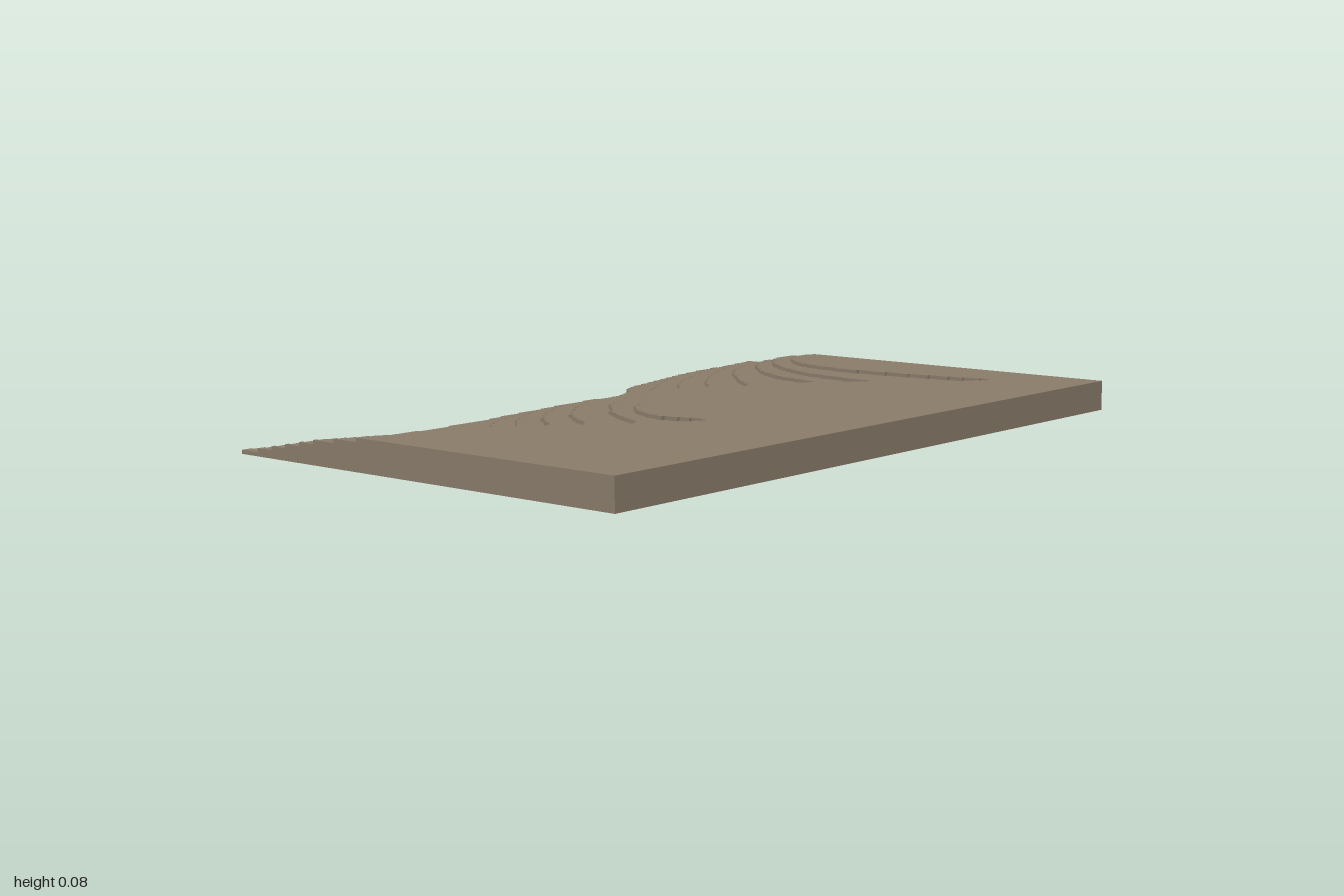
import * as THREE from 'three';

const LAYER = 0.01;   // thickness of one terrace
const GRID = 100;     // outline snaps to cells of 1 / GRID
const RIGHT = 0.68;   // straight side of the slab

// Turn a smooth contour into a fine staircase outline
function steppedContour(pairs) {
  const pts = pairs.map(([x, z]) => new THREE.Vector3(x, 0, z));
  const curve = new THREE.CatmullRomCurve3(pts, false, 'centripetal');
  const out = [];
  const push = (x, z) => {
    const n = out.length;
    if (n && out[n - 1][0] === x && out[n - 1][1] === z) return;
    if (n > 1 && out[n - 2][0] === x && out[n - 2][1] === z) { out.pop(); return; }
    out.push([x, z]);
  };
  for (const p of curve.getSpacedPoints(600)) {
    const x = Math.round(p.x * GRID);
    const z = Math.round(THREE.MathUtils.clamp(p.z, -1, 1) * GRID);
    if (out.length) push(x, out[out.length - 1][1]);
    push(x, z);
  }
  return out.map(([x, z]) => new THREE.Vector2(x / GRID, -z / GRID));
}

// One flat terrace: contour on the -x side, straight on the others
function terrace(pairs, index, material) {
  const outline = steppedContour(pairs);
  outline.push(new THREE.Vector2(RIGHT, -1), new THREE.Vector2(RIGHT, 1));
  const geo = new THREE.ExtrudeGeometry(new THREE.Shape(outline), { depth: LAYER, bevelEnabled: false });
  geo.rotateX(-Math.PI / 2);
  const mesh = new THREE.Mesh(geo, material);
  mesh.position.y = index * LAYER;
  mesh.name = 'terrace' + (index + 1);
  return mesh;
}

export function createModel() {
  const group = new THREE.Group();
  group.name = 'terracedHillside';
  const earth = new THREE.MeshStandardMaterial({ color: 0x8b7d6b });
  earth.name = 'earth brown';

  // Contours as [x, z] from back to front, lowest first
  const shore = [[-0.68, -1], [-0.65, -0.8], [-0.60, -0.6], [-0.56, -0.46], [-0.485, -0.35], [-0.455, -0.2],
    [-0.445, 0], [-0.44, 0.15], [-0.42, 0.3], [-0.415, 0.52], [-0.425, 0.68], [-0.46, 0.82], [-0.525, 1]];
  const foot = [[-0.63, -1], [-0.60, -0.82], [-0.545, -0.62], [-0.48, -0.48], [-0.42, -0.38], [-0.405, -0.25],
    [-0.405, 0], [-0.385, 0.25], [-0.34, 0.42], [-0.32, 0.52], [-0.34, 0.65], [-0.38, 0.77], [-0.46, 1]];
  const lowSlope = [[-0.59, -1], [-0.55, -0.82], [-0.49, -0.65], [-0.41, -0.5], [-0.34, -0.41], [-0.34, -0.28],
    [-0.36, 0], [-0.34, 0.22], [-0.28, 0.38], [-0.22, 0.48], [-0.25, 0.62], [-0.30, 0.76], [-0.41, 1]];
  const midSlope = [[-0.55, -1], [-0.50, -0.84], [-0.43, -0.68], [-0.34, -0.54], [-0.25, -0.43], [-0.26, -0.32],
    [-0.30, -0.15], [-0.32, 0], [-0.30, 0.2], [-0.22, 0.36], [-0.13, 0.47], [-0.17, 0.6], [-0.23, 0.74], [-0.36, 1]];
  const highSlope = [[-0.47, -1], [-0.44, -0.85], [-0.37, -0.7], [-0.26, -0.58], [-0.14, -0.47], [-0.17, -0.35],
    [-0.23, -0.18], [-0.275, 0], [-0.25, 0.18], [-0.15, 0.34], [-0.03, 0.46], [-0.08, 0.58], [-0.16, 0.72], [-0.31, 1]];
  const shoulder = [[-0.415, -1], [-0.40, -0.88], [-0.33, -0.76], [-0.18, -0.65], [0, -0.59], [-0.05, -0.48],
    [-0.13, -0.3], [-0.19, -0.15], [-0.22, 0], [-0.19, 0.15], [-0.09, 0.3], [0.06, 0.43], [-0.03, 0.56],
    [-0.11, 0.7], [-0.18, 0.85], [-0.26, 1]];
  const brow = [[-0.38, -1], [-0.37, -0.9], [-0.27, -0.78], [-0.10, -0.69], [0.05, -0.665], [0.15, -0.65],
    [0.05, -0.53], [-0.04, -0.35], [-0.10, -0.2], [-0.13, 0], [-0.10, 0.13], [0, 0.25], [0.18, 0.37],
    [0.11, 0.45], [0.03, 0.55], [-0.05, 0.68], [-0.11, 0.83], [-0.19, 1]];
  const plateau = [[-0.30, -1], [-0.31, -0.92], [-0.22, -0.81], [-0.05, -0.765], [0.12, -0.775], [0.28, -0.80],
    [0.43, -0.82], [0.275, -0.62], [0.125, -0.415], [0.033, -0.23], [-0.01, -0.06], [-0.005, 0.1], [0.05, 0.22],
    [0.18, 0.285], [0.32, 0.26], [0.213, 0.447], [0.13, 0.54], [0.038, 0.67], [-0.02, 0.8], [-0.105, 1]];

  [shore, foot, lowSlope, midSlope, highSlope, shoulder, brow, plateau]
    .forEach((contour, i) => group.add(terrace(contour, i, earth)));
  return group;
}
